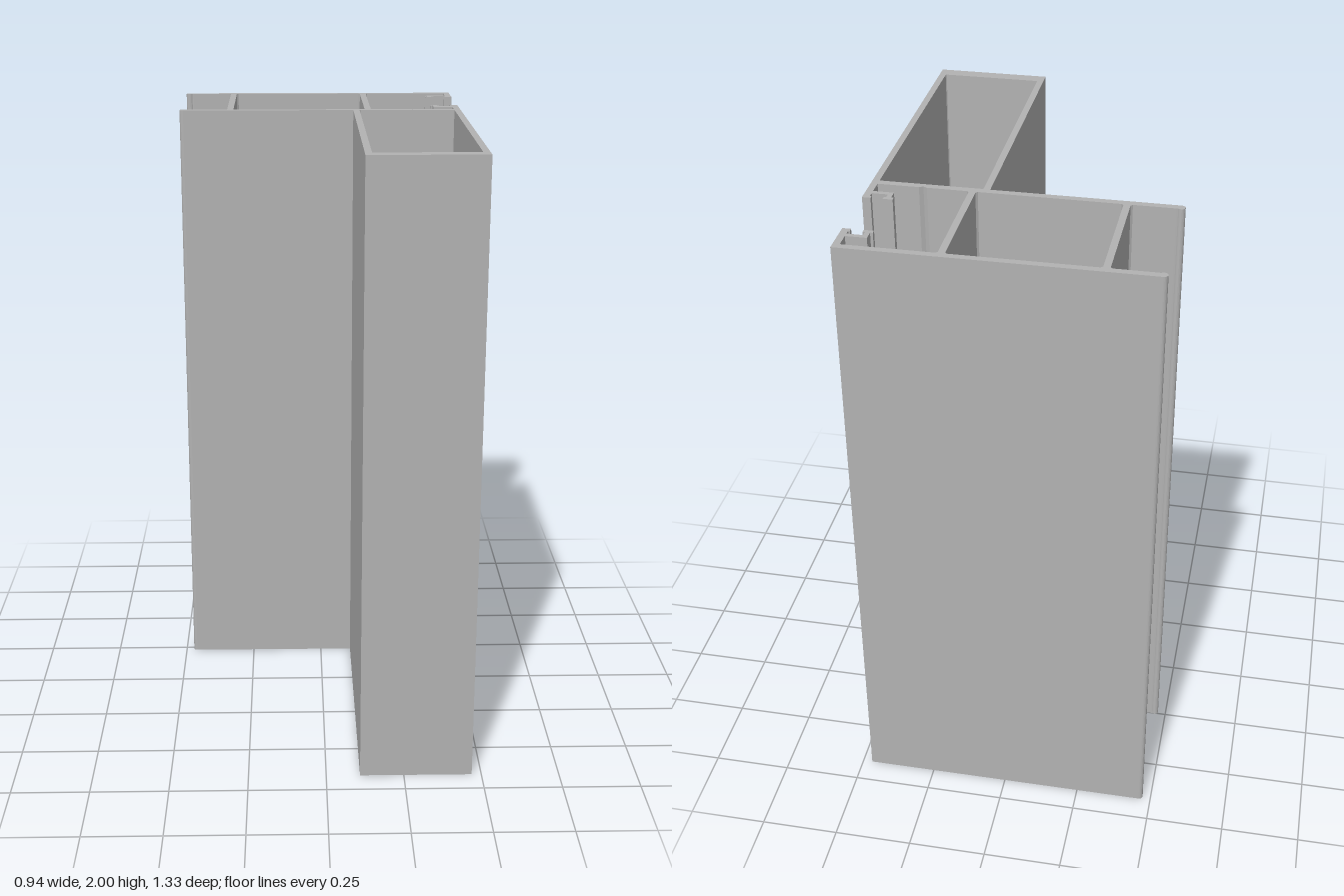
import * as THREE from 'three';

const HEIGHT = 2;
const AXIS = -0.448; // z of the mirror line between the two flanges

// Points are [x, z]; mirroring also reverses them so the outline keeps its direction
const mirrorZ = (points) => points.map(([x, z]) => [x, 2 * AXIS - z]).reverse();
// Shape y is -z, so that standing the extrusion up gives the right z
const toVectors = (points) => points.map(([x, z]) => new THREE.Vector2(x, -z));

// Rectangle with chamfered corners
function chamberPath(x0, x1, z0, z1, c) {
  return new THREE.Path(toVectors([
    [x0 + c, z0], [x1 - c, z0], [x1, z0 + c], [x1, z1 - c],
    [x1 - c, z1], [x0 + c, z1], [x0, z1 - c], [x0, z0 + c],
  ]));
}

export function createModel() {
  const model = new THREE.Group();
  const aluminium = new THREE.MeshStandardMaterial({ color: 0xb2b2b2 });
  aluminium.name = 'greyAluminium';

  // Gasket channel at the tip of the right wall
  const hook = [
    [0.469, -0.347], [0.443, -0.347], [0.443, -0.334], [0.448, -0.334],
    [0.448, -0.316], [0.399, -0.316], [0.399, -0.334], [0.406, -0.334],
    [0.406, -0.347], [0.376, -0.347], [0.376, -0.334], [0.384, -0.334],
    [0.384, -0.301], [0.448, -0.301],
  ];

  // Rounded bead at the free end of the back flange
  const bead = [];
  for (let i = 0; i <= 12; i++) {
    const a = Math.PI / 2 + (i / 12) * Math.PI * 1.25;
    bead.push([-0.461 + 0.0125 * Math.cos(a), -0.6545 - 0.0125 * Math.sin(a)]);
  }
  bead.push([-0.448, -0.645]);

  // Whole outer outline, counter-clockwise from the front left corner of the box
  const outline = [
    [0.109, 0.667], [0.469, 0.667],
    ...hook,
    [0.448, -0.251],
    // alignment groove in the middle flange
    [0.321, -0.251], [0.309, -0.244], [0.297, -0.251],
    // open chamber behind the channels
    [0.175, -0.251], [0.169, -0.257], [0.169, -0.639], [0.175, -0.645],
    [0.448, -0.645],
    ...mirrorZ(hook),
    [0.469, -0.667],
    ...bead,
    // open chamber between the beaded flanges
    [-0.32, -0.645], [-0.314, -0.639], [-0.314, -0.257], [-0.32, -0.251],
    ...mirrorZ(bead),
    [0.109, -0.229],
  ];

  const shape = new THREE.Shape(toVectors(outline));
  shape.holes.push(
    chamberPath(-0.293, 0.148, -0.645, -0.251, 0.006), // rear chamber
    chamberPath(0.13, 0.448, -0.228, 0.624, 0.003), // front box
  );

  const geometry = new THREE.ExtrudeGeometry(shape, { depth: HEIGHT, bevelEnabled: false });
  geometry.rotateX(-Math.PI / 2);

  const profile = new THREE.Mesh(geometry, aluminium);
  profile.name = 'extrudedFrameProfile';
  model.add(profile);
  return model;
}
